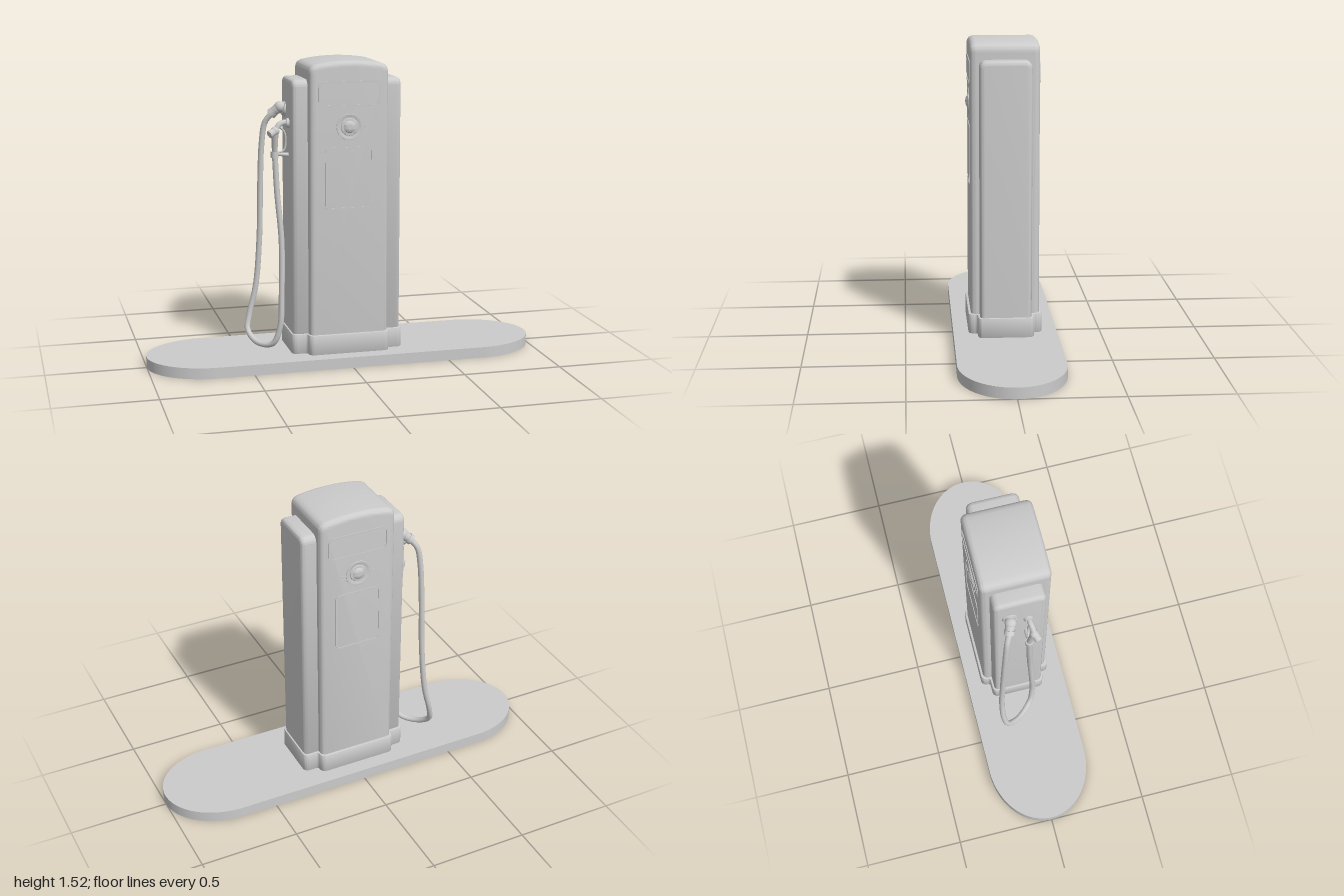
import * as THREE from 'three';
import { toCreasedNormals } from 'three/addons/utils/BufferGeometryUtils.js';

const material = new THREE.MeshStandardMaterial({ color: 0xcccccc, side: THREE.DoubleSide });
const V = (x, y, z) => new THREE.Vector3(x, y, z);

function addMesh(parent, name, geometry) {
  const mesh = new THREE.Mesh(geometry, material);
  mesh.name = name;
  parent.add(mesh);
  return mesh;
}

// Closed outline through [x, y, cornerRadius] points
function rounded(points, Type = THREE.Shape) {
  const s = new Type();
  const n = points.length;
  points.forEach(([x, y, r], i) => {
    const p = new THREE.Vector2(x, y);
    const toward = (q) => new THREE.Vector2(q[0], q[1]).sub(p).setLength(r).add(p);
    const a = toward(points[(i + n - 1) % n]);
    const b = toward(points[(i + 1) % n]);
    if (i === 0) s.moveTo(a.x, a.y); else s.lineTo(a.x, a.y);
    s.bezierCurveTo(a.x + (x - a.x) * 0.55, a.y + (y - a.y) * 0.55,
      b.x + (x - b.x) * 0.55, b.y + (y - b.y) * 0.55, b.x, b.y);
  });
  s.closePath();
  return s;
}

const rect = (w, y0, y1, r, Type) => rounded([[-w, y0, r], [w, y0, r], [w, y1, r], [-w, y1, r]], Type);

// Stadium outline with elliptical ends, shrunk by an inset
function stadium(inset, Type = THREE.Shape) {
  const s = new Type(), rx = 0.32 - inset, rz = 0.26 - inset;
  s.moveTo(-0.68, -rz);
  s.lineTo(0.68, -rz);
  s.absellipse(0.68, 0, rx, rz, -Math.PI / 2, Math.PI / 2);
  s.lineTo(-0.68, rz);
  s.absellipse(-0.68, 0, rx, rz, Math.PI / 2, Math.PI * 1.5);
  return s;
}

// Extrusion of overall size, centred on its depth, with rounded edges kept inside the outline
function slab(shape, depth, bevel, segments = 4, curveSegments = 10) {
  const g = new THREE.ExtrudeGeometry(shape, {
    depth: depth - 2 * bevel, bevelEnabled: bevel > 0, bevelSize: bevel, bevelThickness: bevel,
    bevelOffset: -bevel, bevelSegments: segments, curveSegments,
  });
  g.translate(0, 0, -(depth - 2 * bevel) / 2);
  return toCreasedNormals(g, 0.6);
}

// Slab lying flat between two heights
function flat(parent, name, shape, y0, y1, bevel, curveSegments) {
  const m = addMesh(parent, name, slab(shape, y1 - y0, bevel, 2, curveSegments));
  m.rotation.x = -Math.PI / 2;
  m.position.y = (y0 + y1) / 2;
}

// Cylinder between two points
function rod(parent, name, a, b, r0, r1 = r0) {
  const d = b.clone().sub(a);
  const m = addMesh(parent, name, new THREE.CylinderGeometry(r1, r0, d.length(), 20));
  m.position.copy(a).addScaledVector(d, 0.5);
  m.quaternion.setFromUnitVectors(V(0, 1, 0), d.normalize());
}

function tube(parent, name, pts, r, segments) {
  addMesh(parent, name, new THREE.TubeGeometry(new THREE.CatmullRomCurve3(pts), segments, r, 12));
}

function ball(parent, name, p, r) {
  addMesh(parent, name, new THREE.SphereGeometry(r, 20, 14)).position.copy(p);
}

// Window, dial and price panel on one face
function createFace() {
  const face = new THREE.Group();
  const frame = (name, w, y0, y1, r) => {
    const s = rect(w, y0, y1, r);
    s.holes.push(rect(w - 0.009, y0 + 0.009, y1 - 0.009, r - 0.007, THREE.Path));
    addMesh(face, name, slab(s, 0.008, 0)).position.z = 0.17;
  };
  frame('windowFrame', 0.157, 1.298, 1.424, 0.03);
  frame('panelFrame', 0.121, 0.79, 1.1, 0.022);

  const profile = [[0.067, -0.004], [0.066, 0.003], [0.061, 0.004], [0.055, 0.003], [0.051, 0.001], [0.044, 0.001],
    [0.042, 0.004], [0.034, 0.005], [0.03, 0.005], [0.026, 0.009], [0.018, 0.013], [0.009, 0.015], [0, 0.0155]]
    .map(([x, y]) => new THREE.Vector2(x, y));
  const dial = addMesh(face, 'dial', toCreasedNormals(new THREE.LatheGeometry(profile, 40), 0.7));
  dial.rotation.x = Math.PI / 2;
  dial.position.set(0, 1.2, 0.171);
  for (const s of [-1, 1]) {
    addMesh(face, 'dialTick', new THREE.BoxGeometry(0.012, 0.004, 0.006)).position.set(s * 0.08, 1.2, 0.171);
  }
  return face;
}

function createHose() {
  const g = new THREE.Group();
  g.name = 'hoseAssembly';

  // Swivel outlet high on the cabinet side
  const hub = V(-0.3, 1.28, -0.052);
  rod(g, 'outletFlange', V(-0.265, 1.27, -0.05), V(-0.287, 1.275, -0.05), 0.042, 0.034);
  rod(g, 'outletNeck', V(-0.275, 1.28, -0.05), hub, 0.026);
  ball(g, 'outletElbow', hub, 0.029);
  rod(g, 'outletSleeve', hub, V(-0.347, 1.24, -0.07), 0.027, 0.019);
  rod(g, 'outletCollar', V(-0.328, 1.256, -0.063), V(-0.343, 1.243, -0.069), 0.026);

  // Hanging hose loop
  tube(g, 'hose', [V(-0.34, 1.246, -0.068), V(-0.37, 1.2, -0.085), V(-0.385, 1.1, -0.095), V(-0.393, 0.9, -0.105),
    V(-0.398, 0.62, -0.115), V(-0.418, 0.36, -0.125), V(-0.455, 0.2, -0.122), V(-0.467, 0.13, -0.1),
    V(-0.43, 0.08, -0.03), V(-0.365, 0.09, 0.04), V(-0.332, 0.18, 0.062), V(-0.322, 0.36, 0.06),
    V(-0.318, 0.62, 0.048), V(-0.336, 0.87, 0.035), V(-0.345, 1.07, 0.03)], 0.0145, 150);

  // Nozzle hung in its holder
  const grip = V(-0.345, 1.07, 0.03), head = V(-0.347, 1.175, 0.052);
  rod(g, 'hoseCollar', V(-0.345, 1.04, 0.03), grip, 0.02);
  rod(g, 'nozzleGrip', grip, head, 0.014, 0.018);
  ball(g, 'nozzleHead', head, 0.022);
  rod(g, 'nozzleCap', V(-0.335, 1.18, 0.05), V(-0.378, 1.16, 0.066), 0.017, 0.02);
  tube(g, 'nozzleSpout', [head, V(-0.325, 1.205, 0.048), V(-0.3, 1.215, 0.043), V(-0.265, 1.21, 0.04)], 0.014, 20);
  rod(g, 'holderSocket', V(-0.268, 1.21, 0.04), V(-0.292, 1.213, 0.042), 0.026, 0.021);
  tube(g, 'triggerGuard', [V(-0.325, 1.195, 0.048), V(-0.3, 1.17, 0.044), V(-0.291, 1.12, 0.038),
    V(-0.3, 1.075, 0.034), V(-0.342, 1.06, 0.03)], 0.005, 30);
  rod(g, 'holderHook', V(-0.27, 1.05, 0.03), V(-0.34, 1.058, 0.03), 0.01);
  return g;
}

export function createModel() {
  const model = new THREE.Group();
  model.name = 'fuelPump';

  // Island: thin deck over a hollow rim
  const rim = stadium(0);
  rim.holes.push(stadium(0.003, THREE.Path));
  flat(model, 'islandRim', rim, 0, 0.051, 0, 40);
  flat(model, 'islandDeck', stadium(0), 0.051, 0.055, 0, 40);

  // Stepped plinth
  const X = 0.285, x = 0.207, Z = 0.184, z = 0.139, r = 0.028, f = 0.012;
  const quarter = [[X, z, r], [x, z, f], [x, Z, r]];
  const mirrored = (sx, sz) => quarter.map(([a, b, c]) => [a * sx, b * sz, c]);
  const plinth = rounded([...mirrored(1, 1), ...mirrored(-1, 1).reverse(),
    ...mirrored(-1, -1), ...mirrored(1, -1).reverse()]);
  flat(model, 'plinth', plinth, 0.053, 0.155, 0.005);

  // Main cabinet with crowned top
  const front = new THREE.Shape();
  front.moveTo(-0.2, 0.11);
  front.lineTo(0.2, 0.11);
  front.lineTo(0.2, 1.46);
  front.bezierCurveTo(0.2, 1.49, 0.187, 1.502, 0.16, 1.508);
  front.bezierCurveTo(0.06, 1.527, -0.06, 1.527, -0.16, 1.508);
  front.bezierCurveTo(-0.187, 1.502, -0.2, 1.49, -0.2, 1.46);
  front.closePath();
  addMesh(model, 'cabinet', slab(front, 0.342, 0.028, 6));

  // Side housings, one on each side
  const side = rounded([[-0.128, 0.11, 0.005], [0.128, 0.11, 0.005], [0.128, 1.43, 0.035], [-0.128, 1.43, 0.035]]);
  for (const s of [-1, 1]) {
    const housing = addMesh(model, s > 0 ? 'leftHousing' : 'rightHousing', slab(side, 0.12, 0.022, 6));
    housing.rotation.y = Math.PI / 2;
    housing.position.x = s * 0.216;
  }

  // Same fittings on front and back
  for (const name of ['frontFace', 'backFace']) {
    const face = createFace();
    face.name = name;
    if (name === 'backFace') face.rotation.y = Math.PI;
    model.add(face);
  }

  model.add(createHose());
  return model;
}
